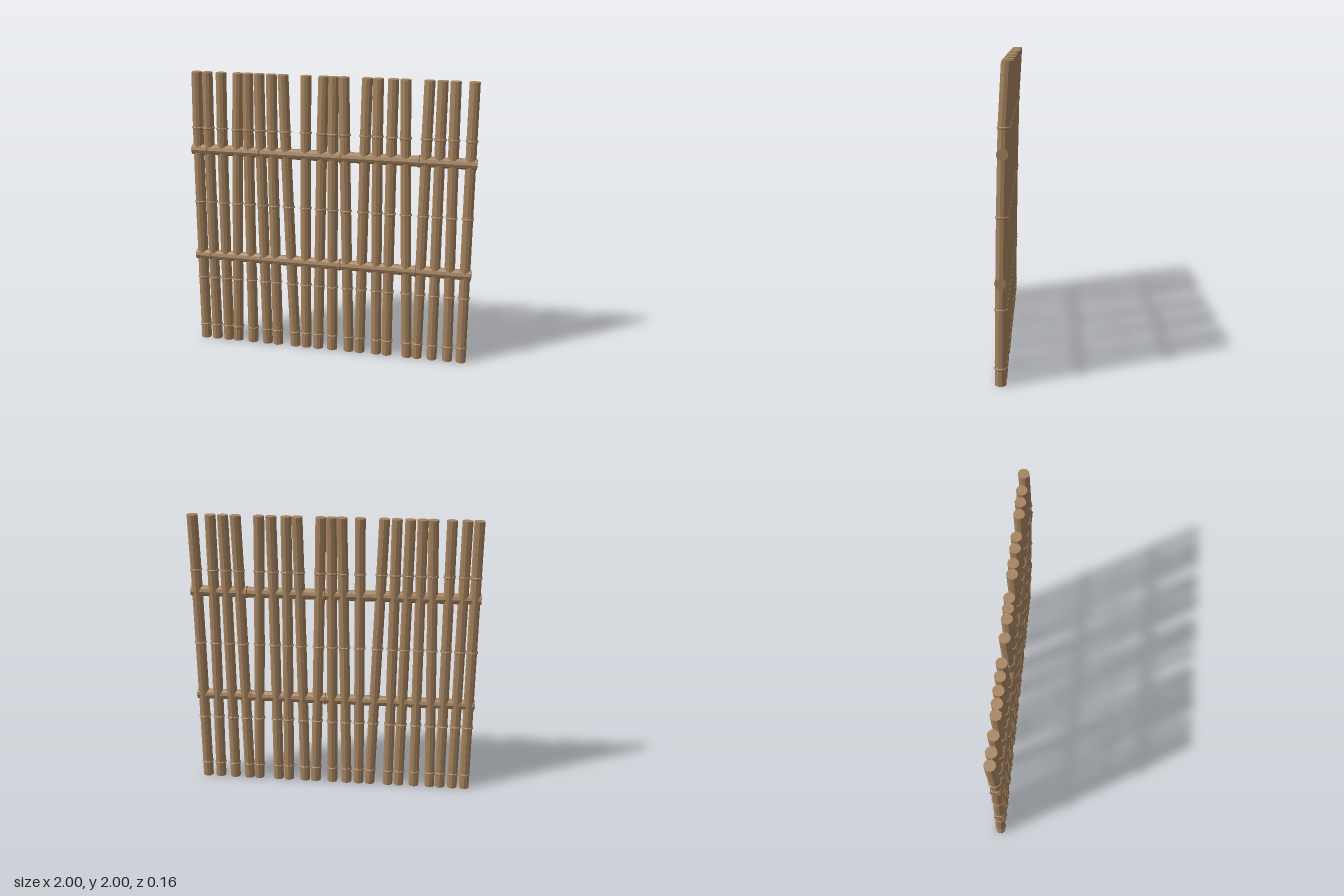
import * as THREE from 'three';

const R = 0.037;                                  // cane radius
const NODES = [0.11, 0.49, 1.07, 1.61];           // joint positions along a cane
const BEND = [[0, 0], [0.49, -0.003], [1.07, -0.01], [1.61, -0.021], [2, -0.042]];

// backward drift of a cane at distance t along it
function bend(t) {
  for (let i = 1; i < BEND.length; i++) {
    const [a, za] = BEND[i - 1], [b, zb] = BEND[i];
    if (t <= b) return za + (zb - za) * (t - a) / (b - a);
  }
  return BEND[BEND.length - 1][1];
}

// depth of the panel, which runs slightly askew
const depth = x => 0.018 - 0.0195 * x;

// straight cane along y from 0 to 2 with a raised lip at every joint
function cane() {
  const pts = [[0, 0], [R, 0]];
  for (const n of NODES) pts.push([R, n - 0.008], [R + 0.006, n - 0.004], [R + 0.006, n + 0.004], [R, n + 0.008]);
  pts.push([R, 2], [0, 2]);
  return new THREE.LatheGeometry(pts.map(p => new THREE.Vector2(p[0], p[1])), 10);
}

// move every vertex by a rule
function warp(geo, rule) {
  const p = geo.attributes.position;
  const v = new THREE.Vector3();
  for (let i = 0; i < p.count; i++) {
    rule(v.fromBufferAttribute(p, i));
    p.setXYZ(i, v.x, v.y, v.z);
  }
  const flat = geo.toNonIndexed();
  flat.computeVertexNormals();
  return flat;
}

export function createModel() {
  const group = new THREE.Group();
  group.name = 'caneFence';
  const wood = new THREE.MeshStandardMaterial({ color: 0xa5835f });
  wood.name = 'driedCane';

  // upright poles: [x at the foot, x at the tip]
  const poles = [
    [-0.957, -0.957], [-0.87, -0.88], [-0.78, -0.78], [-0.705, -0.658], [-0.588, -0.588],
    [-0.476, -0.508], [-0.396, -0.42], [-0.262, -0.337], [-0.18, -0.176], [-0.09, -0.053],
    [0.016, 0.016], [0.14, 0.086], [0.22, 0.246], [0.342, 0.32], [0.42, 0.422],
    [0.567, 0.503], [0.64, 0.663], [0.749, 0.749], [0.86, 0.834], [0.957, 0.957],
  ];
  poles.forEach(([foot, tip], i) => {
    const z = depth((foot + tip) / 2);
    const geo = warp(cane(), v => {
      v.x += foot + (tip - foot) * v.y / 2;
      v.z += z + bend(v.y);
    });
    const mesh = new THREE.Mesh(geo, wood);
    mesh.name = 'pole' + (i + 1);
    group.add(mesh);
  });

  // horizontal rails threaded through the poles
  [['lowerRail', 0.665], ['upperRail', 1.455]].forEach(([name, y]) => {
    const geo = cane().translate(0, -1, 0).rotateZ(-Math.PI / 2);
    const mesh = new THREE.Mesh(warp(geo, v => {
      v.z += depth(v.x) + bend(y) + 0.005;
      v.y += y;
    }), wood);
    mesh.name = name;
    group.add(mesh);
  });

  return group;
}
